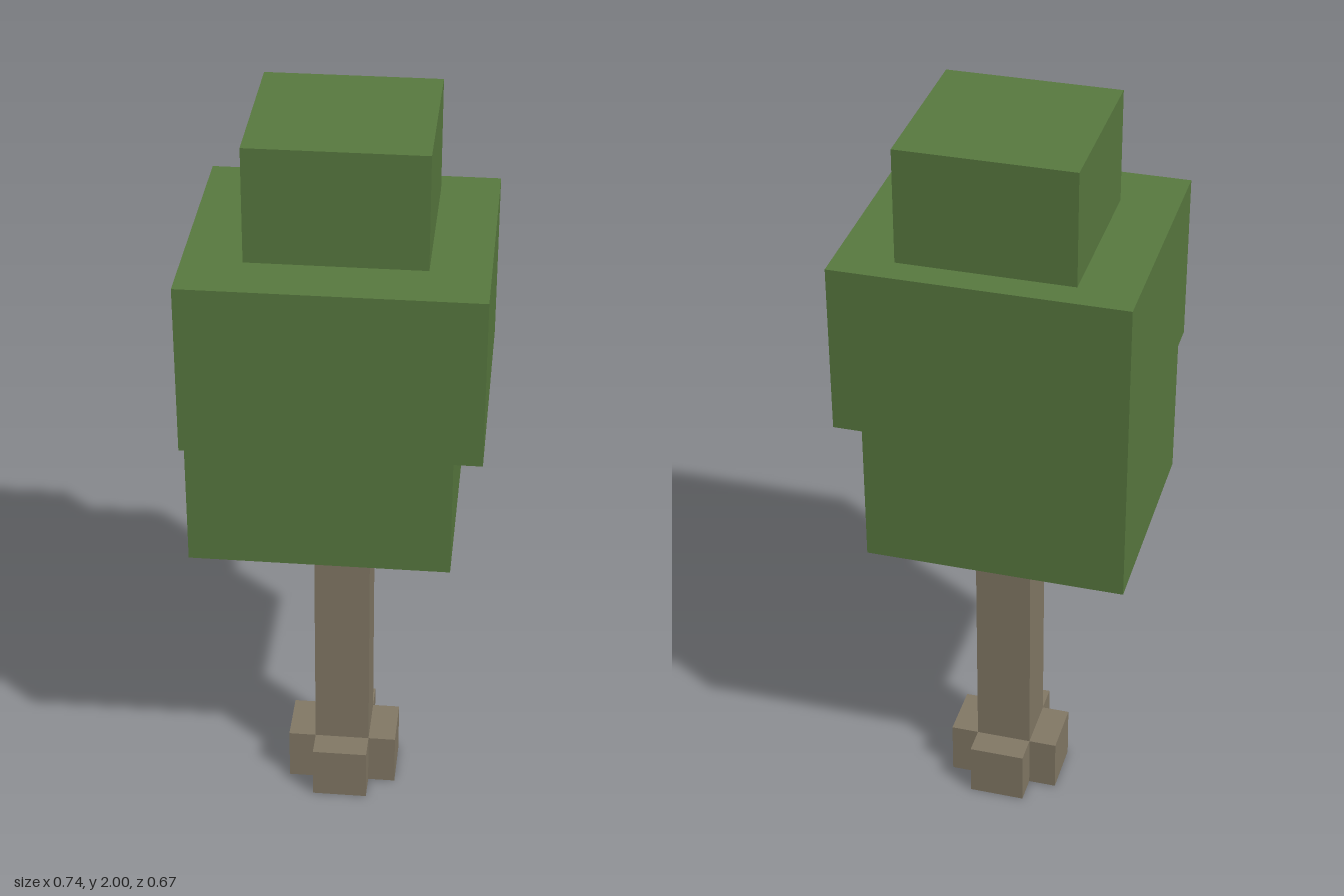
import * as THREE from 'three';

const U = 2 / 27; // one block unit; the tree is 27 units tall

export function createModel() {
  const tree = new THREE.Group();
  tree.name = 'tree';

  const bark = new THREE.MeshStandardMaterial({ color: 0x837966 });
  bark.name = 'bark brown';
  const leaves = new THREE.MeshStandardMaterial({ color: 0x597a40 });
  leaves.name = 'leaf green';

  // Box given by its lower and upper corners in block units
  function block(name, material, [x0, y0, z0], [x1, y1, z1]) {
    const geometry = new THREE.BoxGeometry((x1 - x0) * U, (y1 - y0) * U, (z1 - z0) * U);
    const mesh = new THREE.Mesh(geometry, material);
    mesh.name = name;
    mesh.position.set((x0 + x1) / 2 * U, (y0 + y1) / 2 * U, (z0 + z1) / 2 * U);
    tree.add(mesh);
  }

  // Trunk and the short branch under the canopy
  block('trunk', bark, [-1, 0, -1.5], [1, 12, 0.5]);
  block('branch', bark, [-3, 10, -1.5], [-1, 12, 0.5]);

  // Roots on the four sides of the trunk
  block('leftRoot', bark, [1, 0, -1.5], [2, 2, 0.5]);
  block('rightRoot', bark, [-2, 0, -1.5], [-1, 2, 0.5]);
  block('frontRoot', bark, [-1, 0, 0.5], [1, 2, 1.5]);
  block('backRoot', bark, [-1, 0, -2.5], [1, 2, -1.5]);

  // Canopy in three stacked tiers
  block('lowerCanopy', leaves, [-5, 12, -4.5], [4, 17, 3.5]);
  block('middleCanopy', leaves, [-5, 17, -4.5], [5, 23, 4.5]);
  block('topCanopy', leaves, [-3, 23, -3.5], [3, 27, 2.5]);

  return tree;
}
